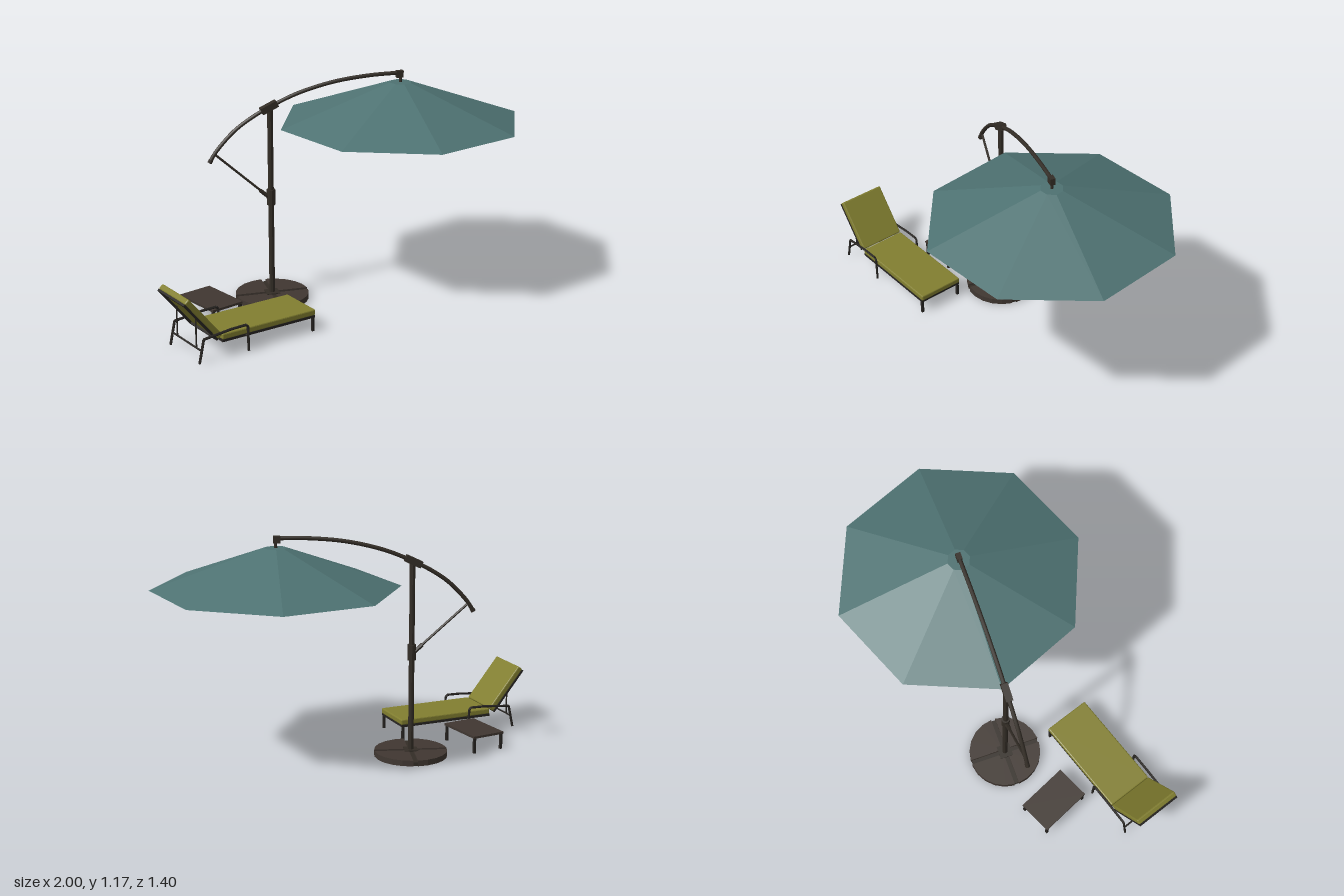
import * as THREE from 'three';
import { RoundedBoxGeometry } from 'three/addons/geometries/RoundedBoxGeometry.js';

const flat = (name, color, extra = {}) =>
  Object.assign(new THREE.MeshStandardMaterial({ color, flatShading: true, ...extra }), { name });

export function createModel() {
  const teal = flat('canopy teal', 0x4e7272, { side: THREE.DoubleSide });
  const olive = flat('cushion olive', 0x827f30);
  const brown = flat('slab brown', 0x403731);
  const bronze = flat('pole bronze', 0x332d26);
  const black = flat('frame black', 0x282522);
  const bronzeSmooth = new THREE.MeshStandardMaterial({ color: 0x332d26 });
  bronzeSmooth.name = 'smooth bronze';

  const add = (parent, name, geometry, material, x = 0, y = 0, z = 0) => {
    const mesh = new THREE.Mesh(geometry, material);
    mesh.name = name;
    mesh.position.set(x, y, z);
    parent.add(mesh);
    return mesh;
  };
  const box = (parent, name, mat, w, h, d, x, y, z) =>
    add(parent, name, new THREE.BoxGeometry(w, h, d), mat, x, y, z);
  // Straight bar between two points
  const bar = (parent, name, mat, a, b, r, sides = 6) => {
    const from = new THREE.Vector3(...a), to = new THREE.Vector3(...b);
    const dir = to.clone().sub(from);
    const mesh = add(parent, name, new THREE.CylinderGeometry(r, r, dir.length(), sides), mat);
    mesh.position.copy(from).add(to).multiplyScalar(0.5);
    mesh.quaternion.setFromUnitVectors(new THREE.Vector3(0, 1, 0), dir.normalize());
    return mesh;
  };
  const group = (parent, name, x, y, z, turn = 0) => {
    const g = new THREE.Group();
    g.name = name;
    g.position.set(x, y, z);
    g.rotation.y = turn;
    parent.add(g);
    return g;
  };

  const model = new THREE.Group();
  model.name = 'patioSet';

  // ---- Cantilever parasol, origin at the pole foot ----
  const parasol = group(model, 'parasol', -0.322, 0, -0.047, 0.03);

  // Four weighted quadrants around a lower steel cross
  const R = 0.19, gap = 0.012;
  const quarter = new THREE.Shape();
  quarter.moveTo(gap, gap);
  const a0 = Math.asin(gap / R);
  for (let i = 0; i <= 5; i++) {
    const a = a0 + (Math.PI / 2 - 2 * a0) * i / 5;
    quarter.lineTo(R * Math.cos(a), R * Math.sin(a));
  }
  const slab = new THREE.ExtrudeGeometry(quarter, { depth: 0.03, bevelEnabled: false });
  slab.rotateX(-Math.PI / 2);
  for (let i = 0; i < 4; i++)
    add(parasol, 'baseWeight', slab, brown).rotation.y = i * Math.PI / 2;
  box(parasol, 'baseCross', bronze, 0.37, 0.018, 0.024, 0, 0.01, 0);
  box(parasol, 'baseCross', bronze, 0.024, 0.018, 0.37, 0, 0.01, 0);
  box(parasol, 'poleFoot', bronze, 0.07, 0.006, 0.07, 0, 0.031, 0);

  // Pole with sliding sleeve
  bar(parasol, 'pole', bronze, [0, 0.02, 0], [0, 1.03, 0], 0.0145, 10);
  bar(parasol, 'sleeve', bronze, [0, 0.51, 0], [0, 0.592, 0], 0.022, 10);

  // Curved arm
  const arm = new THREE.CatmullRomCurve3([
    [-0.312, 0.765], [-0.28, 0.815], [-0.185, 0.915], [-0.09, 0.98], [0, 1.026],
    [0.14, 1.084], [0.33, 1.131], [0.52, 1.151], [0.69, 1.154],
  ].map(([x, y]) => new THREE.Vector3(x, y, 0)));
  add(parasol, 'arm', new THREE.TubeGeometry(arm, 40, 0.0105, 8), bronzeSmooth);
  bar(parasol, 'armEnd', bronze, [-0.315, 0.759, 0], [-0.307, 0.773, 0], 0.0125, 8);
  box(parasol, 'armClamp', bronze, 0.09, 0.034, 0.036, -0.005, 1.024, 0).rotation.z = 0.44;

  // Brace from sleeve to arm tail
  bar(parasol, 'brace', bronze, [-0.288, 0.802, 0], [-0.015, 0.555, 0], 0.0065, 6);
  bar(parasol, 'braceJoint', bronze, [-0.055, 0.59, 0], [-0.012, 0.551, 0], 0.011, 6);

  // Canopy hanger, hub and spreaders
  const canopy = group(parasol, 'canopyAssembly', 0.69, 0, 0);
  box(canopy, 'armCap', bronze, 0.036, 0.036, 0.026, -0.006, 1.147, 0);
  bar(canopy, 'hanger', bronze, [0, 0.945, 0], [0, 1.14, 0], 0.0085, 8);
  bar(canopy, 'hub', bronze, [0, 0.96, 0], [0, 0.982, 0], 0.018, 8);
  const profile = [[0.635, 0.9], [0.058, 1.105], [0, 1.105]].map(p => new THREE.Vector2(...p));
  add(canopy, 'canopy', new THREE.LatheGeometry(profile, 8), teal);
  for (let i = 0; i < 8; i++) {
    const c = Math.cos(i * Math.PI / 4), s = Math.sin(i * Math.PI / 4);
    bar(canopy, 'spreader', black, [0.012 * c, 0.972, 0.012 * s], [0.235 * c, 1.036, 0.235 * s], 0.005, 5);
  }

  // ---- Side table ----
  const table = group(model, 'sideTable', -0.673, 0, 0.11, 0.455);
  box(table, 'tableTop', brown, 0.185, 0.012, 0.28, 0, 0.088, 0);
  for (const x of [-1, 1]) for (const z of [-1, 1])
    box(table, 'tableLeg', black, 0.013, 0.083, 0.013, x * 0.083, 0.0415, z * 0.13);

  // ---- Sun lounger, origin under the seat and back crease, foot toward +x ----
  const lounger = group(model, 'lounger', -0.756, 0, 0.506, 0.354);
  add(lounger, 'seatCushion', new RoundedBoxGeometry(0.534, 0.03, 0.25, 1, 0.006), olive, 0.267, 0.098, 0);
  for (const z of [-1, 1]) {
    box(lounger, 'seatRail', black, 0.53, 0.013, 0.012, 0.265, 0.0775, z * 0.118);
    box(lounger, 'footLeg', black, 0.013, 0.083, 0.013, 0.522, 0.0415, z * 0.118);
    // Armrest: splayed rear leg, sloping rail, front leg
    const w = z * 0.138;
    const path = [[-0.138, 0], [-0.112, 0.118], [0.04, 0.134], [0.122, 0.136], [0.133, 0.125], [0.136, 0]];
    for (let i = 0; i < path.length - 1; i++)
      bar(lounger, 'armrest', black, [...path[i], w], [...path[i + 1], w], 0.0065);
    bar(lounger, 'armBracket', black, [0.13, 0.078, w], [0.13, 0.078, z * 0.115], 0.005);
    bar(lounger, 'backProp', black, [-0.125, 0.062, z * 0.09], [-0.125, 0.215, z * 0.09], 0.004);
  }
  for (const x of [0.006, 0.524])
    box(lounger, 'seatCrossRail', black, 0.012, 0.013, 0.236, x, 0.0775, 0);
  bar(lounger, 'rearCrossbar', black, [-0.125, 0.062, -0.138], [-0.125, 0.062, 0.138], 0.005);

  // Reclined back
  const back = group(lounger, 'backrest', 0, 0.112, 0);
  back.rotation.z = -0.89;
  add(back, 'backCushion', new RoundedBoxGeometry(0.282, 0.03, 0.25, 1, 0.006), olive, -0.141, -0.015, 0);
  for (const z of [-1, 1])
    box(back, 'backRail', black, 0.278, 0.011, 0.012, -0.14, -0.0355, z * 0.118);
  for (const x of [-0.273, -0.008])
    box(back, 'backCrossRail', black, 0.012, 0.011, 0.236, x, -0.0355, 0);

  return model;
}
